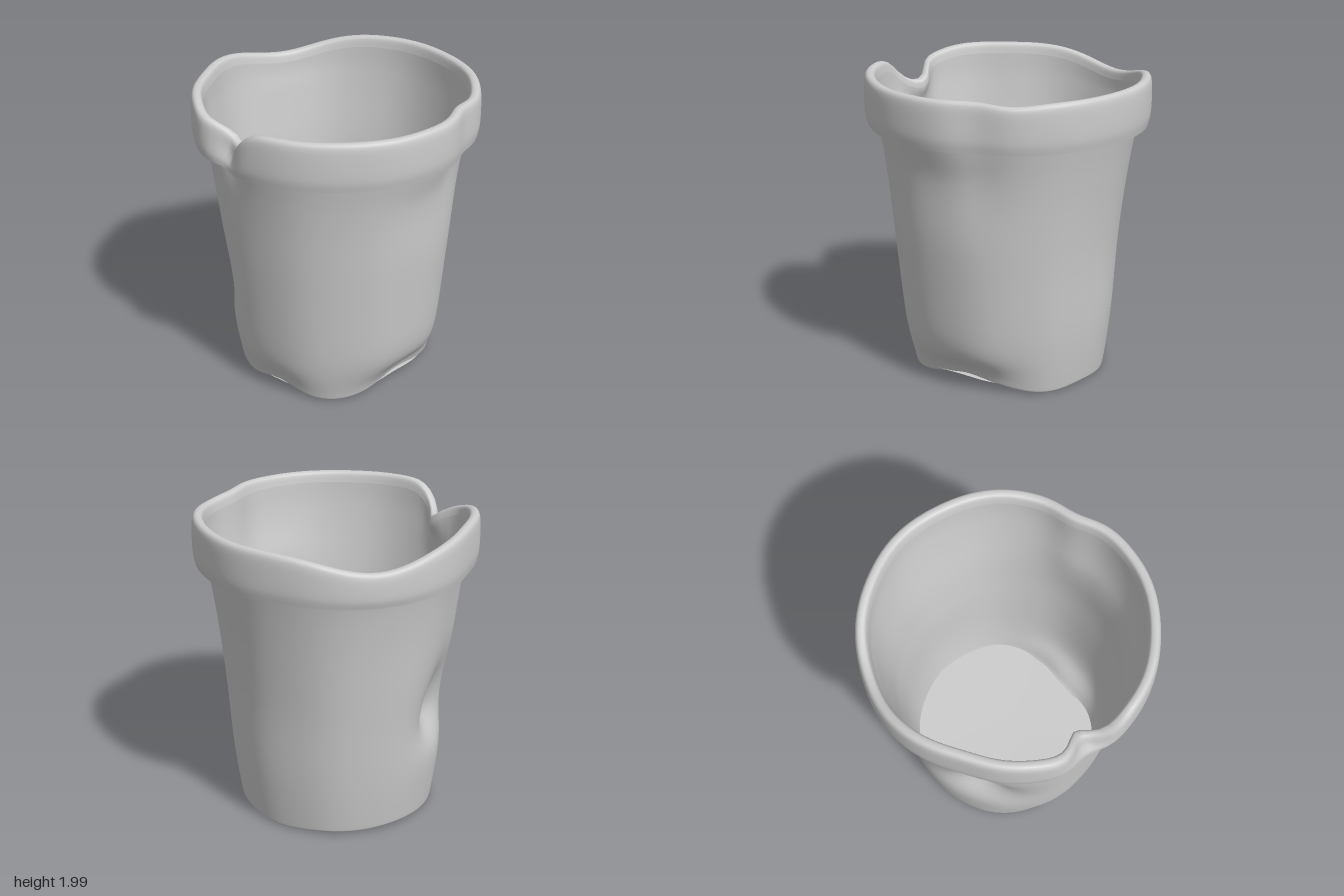
import * as THREE from 'three';
import { mergeVertices } from 'three/addons/utils/BufferGeometryUtils.js';

const SEGMENTS = 112;

// Radial dents: angle from the front, height, angular spread, spread below, spread above, depth
const dents = [
  [-1.06, 0.7, 0.25, 0.13, 0.22, 0.135], // large dent in the wall
  [-1.07, 1.9, 0.19, 1.2, 1, 0.035],     // flattened side
  [-0.2, 2.0, 0.1, 0.24, 1, 0.125],      // pinch at the rim notch
  [1.84, 1.95, 0.14, 0.4, 1, 0.055],     // pinch in the left side of the rim
  [1.57, 1.45, 0.3, 0.2, 0.12, 0.025],   // shallow hollow below that pinch
  [3.14, 0.95, 0.5, 0.3, 0.35, 0.025],   // shallow hollow at the back
  [1.5, 0.0, 0.42, 0.14, 0.14, 0.11],    // tucked-in bottom edge
  [0.0, 0.0, 0.4, 0.1, 0.12, 0.045],
];
// Sunken stretches of the top edge: angle, spread, drop
const dips = [[-0.12, 0.12, 0.16], [-0.36, 0.16, 0.05], [-2.03, 0.3, 0.11], [2.1, 0.15, 0.02]];
// Raised stretches of the bottom edge: angle, spread, lift
const lifts = [[0.0, 0.24, 0.06], [1.6, 0.34, 0.08], [-1.9, 0.3, 0.015]];

function bell(angle, centre, spread) {
  const d = Math.atan2(Math.sin(angle - centre), Math.cos(angle - centre)) / spread;
  return Math.exp(-d * d / 2);
}

// Push a surface of revolution out of shape
function batter(geometry, moveEdges) {
  const p = geometry.attributes.position;
  for (let i = 0; i < p.count; i++) {
    const x = p.getX(i), z = p.getZ(i), y = p.getY(i);
    const r = Math.hypot(x, z);
    if (r < 0.001) continue;
    const a = Math.atan2(x, z);
    let push = 0.003 * Math.sin(9 * a + 1);
    for (const [angle, height, spread, below, above, depth] of dents) {
      const h = (y - height) / (y < height ? below : above);
      push += depth * bell(a, angle, spread) * Math.exp(-h * h / 2);
    }
    const k = (r - push * Math.min(1, r / 0.6)) / r;
    let dy = 0;
    if (moveEdges) {
      const top = THREE.MathUtils.smoothstep(y, 1.6, 2.0);
      const bottom = 1 - THREE.MathUtils.smoothstep(y, 0.02, 0.3);
      for (const [angle, spread, drop] of dips) dy -= drop * top * bell(a, angle, spread);
      for (const [angle, spread, lift] of lifts) dy += lift * bottom * bell(a, angle, spread);
      dy += bottom * 0.006 * Math.sin(7 * a);
    }
    p.setXYZ(i, x * k, y + dy, z * k);
  }
}

function turned(name, profile, material, { smooth = true, moveEdges = true } = {}) {
  let points = profile.map(([r, y]) => new THREE.Vector2(r, y));
  if (smooth) points = new THREE.SplineCurve(points).getPoints(profile.length * 7);
  let geometry = new THREE.LatheGeometry(points, SEGMENTS);
  batter(geometry, moveEdges);
  // Weld the seam so shading runs all the way round
  geometry.deleteAttribute('uv');
  geometry.deleteAttribute('normal');
  geometry = mergeVertices(geometry, 1e-4);
  geometry.computeVertexNormals();
  const mesh = new THREE.Mesh(geometry, material);
  mesh.name = name;
  return mesh;
}

export function createModel() {
  const pot = new THREE.Group();
  pot.name = 'batteredPot';
  const clay = new THREE.MeshStandardMaterial({ color: 0xcccccc, side: THREE.DoubleSide });

  // Tapered outer wall
  pot.add(turned('outerWall', [
    [0.615, 0.025], [0.645, 0.015], [0.66, 0.08], [0.7, 0.4], [0.738, 0.8],
    [0.757, 1.0], [0.785, 1.3], [0.812, 1.52], [0.84, 1.69],
  ], clay));

  // Flat shoulder under the rim
  pot.add(turned('rimUnderside', [[0.835, 1.69], [0.908, 1.69]], clay, { smooth: false }));

  // Thick rim band with a rounded top
  pot.add(turned('rim', [
    [0.908, 1.69], [0.92, 1.76], [0.922, 1.86], [0.918, 1.955], [0.904, 1.993],
    [0.876, 2.0], [0.852, 1.985], [0.84, 1.93],
  ], clay));

  // Thin inner wall down to the foot
  pot.add(turned('innerWall', [
    [0.84, 1.93], [0.832, 1.8], [0.81, 1.62], [0.766, 1.3], [0.738, 1.0],
    [0.718, 0.8], [0.68, 0.4], [0.64, 0.09], [0.615, 0.025],
  ], clay));

  // Floor, slightly above the foot
  pot.add(turned('floor', [[0.645, 0.075], [0.4, 0.07], [0.2, 0.065], [0, 0.065]], clay,
    { smooth: false, moveEdges: false }));

  return pot;
}
